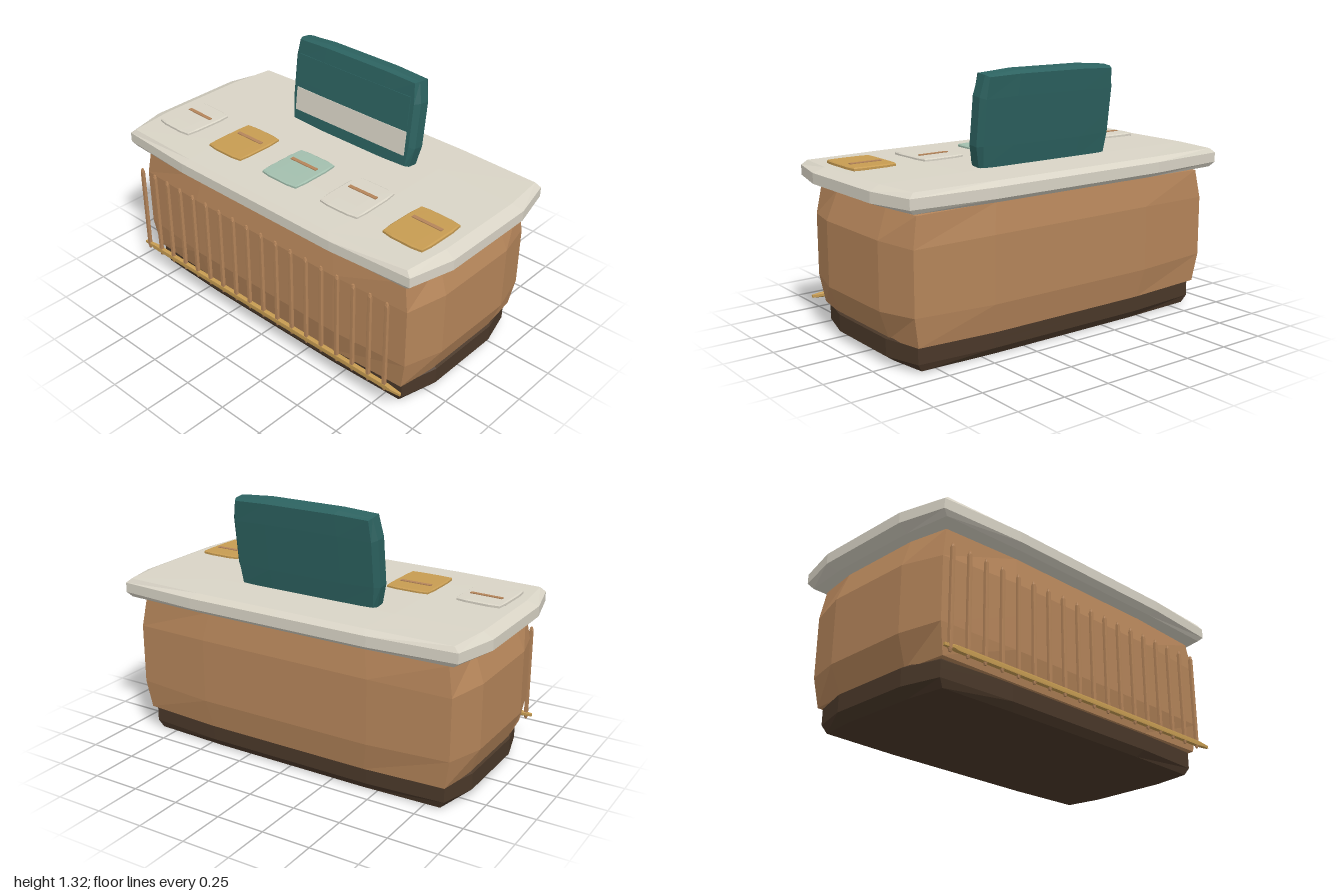
import * as THREE from 'three';

const material = (name, color) => {
  const m = new THREE.MeshStandardMaterial({ color, flatShading: true });
  m.name = name;
  return m;
};

// Box with four segments per side, its edges and corners drawn inwards
function softBox(w, h, d) {
  const g = new THREE.BoxGeometry(w, h, d, 4, 4, 4);
  const p = g.attributes.position;
  const half = [w / 2, h / 2, d / 2];
  const v = new THREE.Vector3();
  for (let i = 0; i < p.count; i++) {
    v.fromBufferAttribute(p, i);
    const outer = v.toArray().filter((c, k) => Math.abs(c) > half[k] * 0.99).length;
    v.multiplyScalar([1, 1, 0.942, 0.915][outer]);
    p.setXYZ(i, v.x, v.y, v.z);
  }
  g.computeVertexNormals();
  return g;
}

export function createModel() {
  const model = new THREE.Group();
  model.name = 'serviceCounter';
  const wood = material('wood', 0xb5855a);
  const darkWood = material('dark wood', 0x4a3829);
  const cream = material('cream', 0xd9d4c6);
  const teal = material('teal', 0x2c6260);
  const gold = material('gold', 0xc79c52);
  const mint = material('mint', 0xa3bfae);

  function add(parent, name, geometry, mat, x, y, z) {
    const mesh = new THREE.Mesh(geometry, mat);
    mesh.name = name;
    mesh.position.set(x, y, z);
    parent.add(mesh);
    return mesh;
  }

  // Plinth, cabinet and worktop
  add(model, 'plinth', softBox(1.82, 0.17, 0.87), darkWood, 0, 0.085, 0);
  add(model, 'cabinet', softBox(1.9, 0.66, 0.95), wood, 0, 0.435, 0);
  add(model, 'worktop', softBox(2, 0.106, 1.065), cream, 0, 0.808, 0);

  // Front slats and the rail across their feet
  const slat = softBox(0.019, 0.51, 0.017);
  for (let i = 0; i < 18; i++) {
    add(model, 'slat', slat, wood, -0.882 + i * 0.1, 0.38, 0.495);
  }
  add(model, 'rail', softBox(1.83, 0.026, 0.024), gold, 0, 0.152, 0.493);

  // Sign board leaning back, with its panels
  const sign = new THREE.Group();
  sign.name = 'sign';
  sign.position.set(0, 1.085, -0.228);
  sign.rotation.x = -0.125;
  model.add(sign);
  add(sign, 'signBoard', softBox(0.82, 0.475, 0.11), teal, 0, 0, 0);
  add(sign, 'signUpperPanel', new THREE.BoxGeometry(0.73, 0.15, 0.006), teal, 0, 0.07, 0.054);
  add(sign, 'signLabel', new THREE.BoxGeometry(0.73, 0.125, 0.008), cream, 0, -0.1, 0.054);

  // Row of cards, each with a narrow stripe
  const card = softBox(0.24, 0.022, 0.29);
  const stripe = new THREE.BoxGeometry(0.17, 0.008, 0.02);
  [cream, gold, mint, cream, gold].forEach((mat, i) => {
    const group = new THREE.Group();
    group.name = 'card';
    group.position.set((i - 2) * 0.385, 0.864, 0.207);
    group.rotation.y = [-0.03, 0, 0, 0.02, -0.015][i];
    model.add(group);
    add(group, 'cardPlate', card, mat, 0, 0, 0);
    add(group, 'cardStripe', stripe, wood, 0, 0.011, -0.04);
  });

  return model;
}
